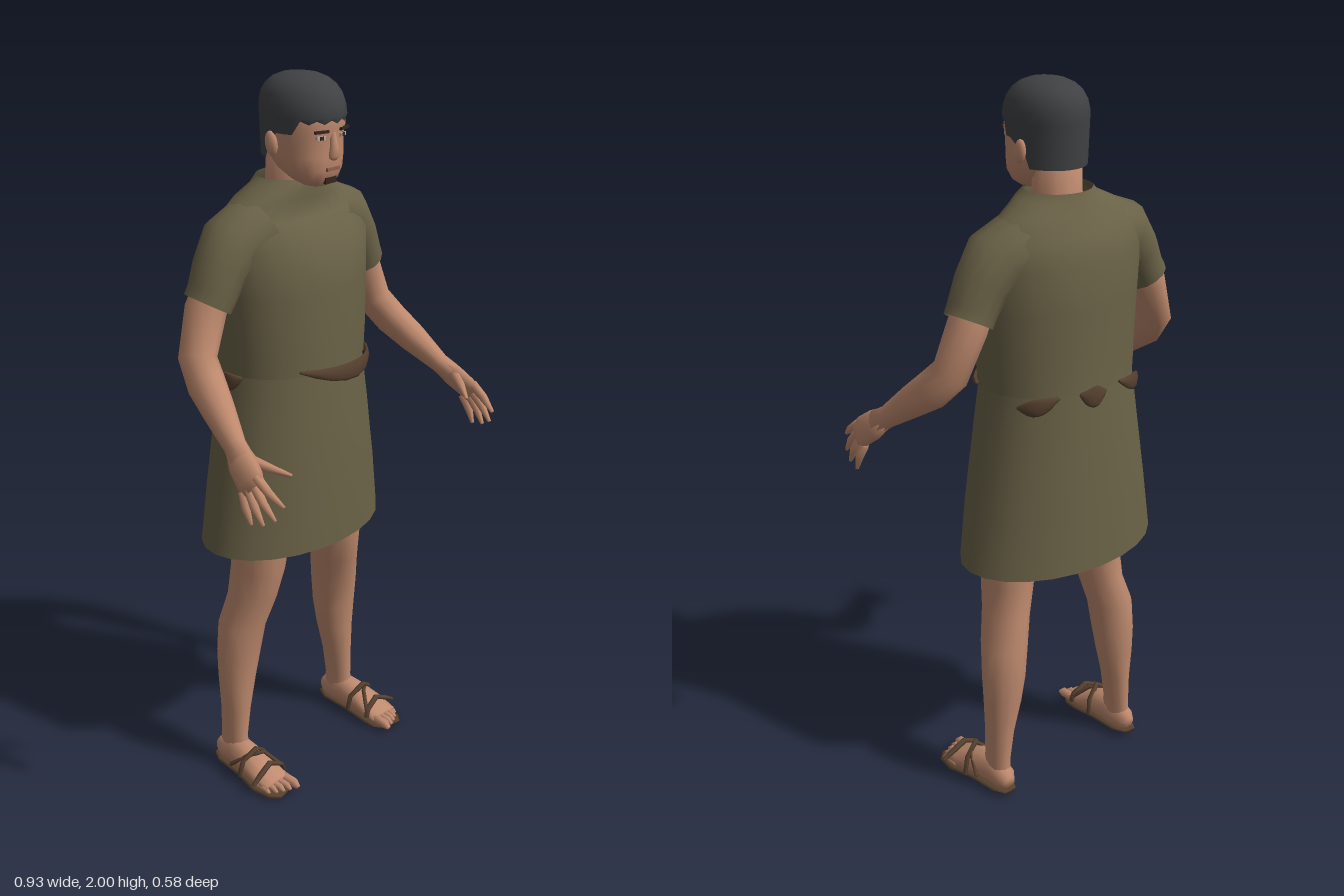
import * as THREE from 'three';

const mat = (name, color, side = THREE.FrontSide) => {
  const m = new THREE.MeshStandardMaterial({ color, side });
  m.name = name;
  return m;
};

// Skin a list of equal-length point rings; optional fans close the ends.
function loft(rings, capStart = true, capEnd = true) {
  const n = rings[0].length, pos = [], idx = [];
  rings.forEach(r => r.forEach(p => pos.push(p.x, p.y, p.z)));
  for (let i = 0; i < rings.length - 1; i++) {
    for (let j = 0; j < n; j++) {
      const a = i * n + j, b = i * n + (j + 1) % n;
      idx.push(a, a + n, b, b, a + n, b + n);
    }
  }
  const cap = (k, flip) => {
    const c = rings[k].reduce((s, p) => s.add(p), new THREE.Vector3()).divideScalar(n);
    const m = pos.length / 3;
    pos.push(c.x, c.y, c.z);
    for (let j = 0; j < n; j++) {
      const a = k * n + j, b = k * n + (j + 1) % n;
      idx.push(...(flip ? [m, a, b] : [m, b, a]));
    }
  };
  if (capStart) cap(0, true);
  if (capEnd) cap(rings.length - 1, false);
  const g = new THREE.BufferGeometry();
  g.setAttribute('position', new THREE.Float32BufferAttribute(pos, 3));
  g.setIndex(idx);
  g.computeVertexNormals();
  return g;
}

// Horizontal ring: height, centre x, half width, front z, back z, squareness.
function level(y, cx, rx, front, back, n = 20, power = 2) {
  const c = (front + back) / 2, rz = (front - back) / 2;
  const f = v => Math.sign(v) * Math.abs(v) ** (2 / power);
  return Array.from({ length: n }, (_, i) => {
    const t = i / n * Math.PI * 2;
    return new THREE.Vector3(cx + rx * f(Math.cos(t)), y, c + rz * f(Math.sin(t)));
  });
}

// Elliptical tube through sections [x, y, z, ru, rv]; rv lies along ref.
const X = new THREE.Vector3(1, 0, 0), Y = new THREE.Vector3(0, 1, 0), Z = new THREE.Vector3(0, 0, 1);
function tube(sections, n = 10, ref = Z, open = false) {
  const P = sections.map(s => new THREE.Vector3(s[0], s[1], s[2]));
  const rings = sections.map((s, i) => {
    const t = P[Math.min(i + 1, P.length - 1)].clone().sub(P[Math.max(i - 1, 0)]).normalize();
    const u = t.clone().cross(ref).normalize(), v = u.clone().cross(t);
    return Array.from({ length: n }, (_, j) => {
      const a = j / n * Math.PI * 2;
      return P[i].clone().addScaledVector(u, s[3] * Math.cos(a)).addScaledVector(v, (s[4] ?? s[3]) * Math.sin(a));
    });
  });
  return loft(rings, !open, !open);
}

function mirrored(geo) {
  const g = geo.clone().scale(-1, 1, 1), ix = g.index.array;
  for (let i = 0; i < ix.length; i += 3) [ix[i], ix[i + 1]] = [ix[i + 1], ix[i]];
  return g;
}

export function createModel() {
  const model = new THREE.Group();
  model.name = 'man';
  const skin = mat('skin', 0xbf8a6e), cloth = mat('olive cloth', 0x6a6247, THREE.DoubleSide);
  const hairMat = mat('dark hair', 0x404143, THREE.DoubleSide), leather = mat('brown leather', 0x57412f);
  const dark = mat('dark brown', 0x33261f), lipMat = mat('lip', 0x94604e), white = mat('eye white', 0xb9aba0);
  const add = (name, geo, m) => {
    const mesh = new THREE.Mesh(geo, m);
    mesh.name = name;
    model.add(mesh);
  };
  const pair = (name, geo, m) => {
    add(name + 'Left', geo, m);
    add(name + 'Right', mirrored(geo), m);
  };

  // Tunic: skirt and blouse, both open shells
  add('skirt', loft([
    [0.73, 0.3, 0.1, -0.29], [0.9, 0.275, 0.1, -0.283], [1.1, 0.243, 0.09, -0.27], [1.27, 0.218, 0.075, -0.255],
  ].map(([y, rx, f, b]) => level(y, 0, rx, f, b, 24)), false, false), cloth);
  add('blouse', loft([
    [1.235, 0.226, 0.083, -0.262], [1.32, 0.232, 0.083, -0.258], [1.45, 0.24, 0.078, -0.256],
    [1.57, 0.248, 0.07, -0.254], [1.635, 0.23, 0.005, -0.225], [1.685, 0.175, -0.005, -0.2],
    [1.715, 0.115, 0.004, -0.185], [1.735, 0.092, -0.01, -0.178],
  ].map(([y, rx, f, b]) => level(y, 0, rx, f, b, 24)), false, false), cloth);
  pair('sleeve', tube([
    [0.13, 1.605, -0.1, 0.09, 0.1], [0.205, 1.58, -0.1, 0.088, 0.09], [0.252, 1.525, -0.1, 0.07, 0.076],
    [0.28, 1.47, -0.1, 0.062, 0.07], [0.295, 1.443, -0.103, 0.062, 0.068],
  ], 14, Z, true), cloth);

  // Sash showing in places around the waist: start angle, end angle, start y, end y, half height
  [[122, 20, 1.25, 1.235, 0.022], [192, 168, 1.225, 1.235, 0.022], [250, 215, 1.235, 1.21, 0.02],
    [285, 265, 1.235, 1.23, 0.026], [330, 300, 1.21, 1.235, 0.02]].forEach(([a, b, y0, y1, h], k) => {
    const pts = Array.from({ length: 9 }, (_, i) => {
      const t = i / 8, th = (a + (b - a) * t) * Math.PI / 180, w = Math.sin(Math.PI * t);
      const r = 1 + 0.055 * w;
      return [0.23 * r * Math.cos(th), y0 + (y1 - y0) * t - 0.025 * w * (k ? 0.3 : 1),
        -0.09 + 0.174 * r * Math.sin(th), 0.006, 0.004 + h * w];
    });
    add('sash' + (k + 1), tube(pts, 8, Y), leather);
  });

  // Arms, palms and fingers
  pair('arm', tube([
    [0.25, 1.53, -0.1, 0.045, 0.055], [0.3, 1.43, -0.105, 0.05, 0.06], [0.345, 1.315, -0.092, 0.046, 0.055],
    [0.365, 1.26, -0.04, 0.044, 0.054], [0.385, 1.21, 0.025, 0.04, 0.044], [0.41, 1.147, 0.105, 0.026, 0.031],
    [0.422, 1.122, 0.14, 0.026, 0.036],
  ], 12), skin);
  pair('palm', tube([
    [0.412, 1.143, 0.11, 0.024, 0.03], [0.425, 1.115, 0.145, 0.025, 0.042],
    [0.438, 1.085, 0.185, 0.02, 0.043], [0.442, 1.07, 0.205, 0.013, 0.036],
  ], 10), skin);
  [[[0.436, 1.1, 0.205], [0.425, 1.04, 0.288]], [[0.44, 1.08, 0.2], [0.438, 1.002, 0.27]],
    [[0.444, 1.065, 0.187], [0.448, 0.983, 0.238]], [[0.445, 1.053, 0.168], [0.452, 0.975, 0.2]],
    [[0.415, 1.13, 0.15], [0.355, 1.09, 0.248]]].forEach(([p, q], k) => {
    const m = p.map((v, i) => (v + q[i]) / 2 + (i === 0 ? 0.005 : 0));
    pair(k < 4 ? 'finger' + (k + 1) : 'thumb', tube([[...p, 0.014], [...m, 0.012], [...q, 0.005]], 6), skin);
  });

  // Legs
  pair('leg', loft([
    [0.06, 0.227, 0.03, -0.06, -0.16], [0.11, 0.227, 0.03, -0.068, -0.157], [0.2, 0.22, 0.038, -0.065, -0.16],
    [0.3, 0.21, 0.054, -0.06, -0.17], [0.38, 0.203, 0.062, -0.05, -0.176], [0.47, 0.195, 0.064, -0.035, -0.176],
    [0.56, 0.172, 0.06, -0.008, -0.162], [0.65, 0.158, 0.067, 0.01, -0.158], [0.75, 0.15, 0.075, 0.02, -0.158],
    [0.95, 0.125, 0.09, 0.03, -0.17],
  ].map(([y, cx, rx, f, b]) => level(y, cx, rx, f, b, 14)), false, true), skin);

  // Feet, toes and sandals
  pair('foot', tube([
    [0.23, 0.045, -0.17, 0.018, 0.022], [0.229, 0.05, -0.15, 0.031, 0.038], [0.229, 0.06, -0.1, 0.036, 0.05],
    [0.234, 0.053, -0.04, 0.042, 0.043], [0.238, 0.038, 0.02, 0.05, 0.029], [0.237, 0.026, 0.07, 0.049, 0.016],
  ], 12, Y), skin);
  [[0.203, 0.12, 0.014], [0.226, 0.112, 0.01], [0.245, 0.104, 0.01], [0.263, 0.094, 0.009], [0.28, 0.08, 0.009]]
    .forEach(([x, z, r], k) => pair('toe' + (k + 1), tube([
      [x, 0.027, z - 0.06, r], [x, 0.024, z - 0.014, r], [x, 0.017, z, r * 0.5],
    ], 6, Y), skin));
  pair('sole', tube([
    [0.23, 0.022, -0.175, 0.02, 0.006], [0.23, 0.022, -0.14, 0.04, 0.008], [0.234, 0.018, -0.05, 0.046, 0.008],
    [0.24, 0.01, 0.03, 0.058, 0.008], [0.238, 0.008, 0.08, 0.053, 0.007], [0.232, 0.008, 0.102, 0.035, 0.006],
  ], 10, Y), leather);
  pair('toeStrap', tube([
    [0.183, 0.03, 0.045, 0.005, 0.008], [0.192, 0.055, 0.042, 0.007, 0.009], [0.235, 0.078, 0.038, 0.008, 0.009],
    [0.275, 0.058, 0.04, 0.007, 0.009], [0.307, 0.04, 0.042, 0.004, 0.007],
  ], 6), leather);
  pair('ankleStrap', tube([
    [0.186, 0.025, -0.035, 0.005, 0.007], [0.193, 0.07, -0.03, 0.006, 0.008], [0.235, 0.103, -0.015, 0.007, 0.009],
    [0.275, 0.075, -0.03, 0.006, 0.008], [0.288, 0.025, -0.035, 0.005, 0.007],
  ], 6), leather);
  pair('crossStrap', tube([
    [0.19, 0.05, 0.04, 0.006], [0.22, 0.092, 0.0, 0.006], [0.262, 0.082, -0.03, 0.006], [0.279, 0.04, -0.08, 0.006],
  ], 6, X), leather);

  // Neck, head and ears
  add('neck', loft([
    level(1.6, 0, 0.085, -0.03, -0.18, 14), level(1.72, 0, 0.066, -0.025, -0.155, 14),
    level(1.82, 0, 0.066, -0.02, -0.15, 14),
  ]), skin);
  add('head', loft([
    [1.722, 0.035, 0.036, -0.03], [1.738, 0.06, 0.052, -0.06], [1.765, 0.08, 0.06, -0.1], [1.8, 0.088, 0.063, -0.135],
    [1.845, 0.093, 0.06, -0.147], [1.875, 0.094, 0.068, -0.152], [1.92, 0.09, 0.065, -0.15], [1.96, 0.06, 0.03, -0.11],
  ].map(([y, rx, f, b]) => level(y, 0, rx, f, b, 20, 2.3))), skin);
  pair('ear', new THREE.SphereGeometry(1, 10, 8).scale(0.012, 0.032, 0.02).rotateX(-0.2).translate(0.097, 1.83, -0.062), skin);
  add('nose', tube([
    [0, 1.86, 0.058, 0.008, 0.008], [0, 1.825, 0.062, 0.012, 0.013], [0, 1.803, 0.064, 0.018, 0.017],
    [0, 1.795, 0.06, 0.014, 0.01],
  ], 8), skin);

  // Hair: a cap whose lower edge drops from the fringe to the nape
  const N = 32;
  add('hair', loft([-1, 0, 0.25, 0.5, 0.7, 0.85, 0.95, 0.995].map(s => Array.from({ length: N }, (_, j) => {
    const th = j / N * Math.PI * 2, f = Math.sin(th);
    const edge = f > 0.45 ? 1.884 + (j % 2) * 0.009 : f > 0 ? 1.858 : f > -0.3 ? 1.845 : 1.79;
    const r = s < 0 ? 0.965 : (1 - s ** 2.5) ** 0.4;
    return new THREE.Vector3(0.1 * r * Math.cos(th), s < 0 ? edge : 1.9 + 0.1 * s,
      -0.044 + 0.123 * r * f - 0.008 * Math.max(0, s));
  })), false, true), hairMat);

  // Face details as thin plates
  const plate = (w, h, x, y, z, ry = 0) => new THREE.BoxGeometry(w, h, 0.008).rotateY(ry).translate(x, y, z);
  pair('eyebrow', plate(0.042, 0.007, 0.042, 1.866, 0.06, 0.25), dark);
  pair('eye', plate(0.026, 0.009, 0.04, 1.85, 0.0555, 0.25), white);
  pair('pupil', plate(0.011, 0.009, 0.04, 1.85, 0.057, 0.25), dark);
  add('mouth', plate(0.046, 0.009, 0, 1.768, 0.06), lipMat);
  add('chinBeard', plate(0.04, 0.016, 0, 1.738, 0.051).rotateX(0), dark);
  return model;
}
